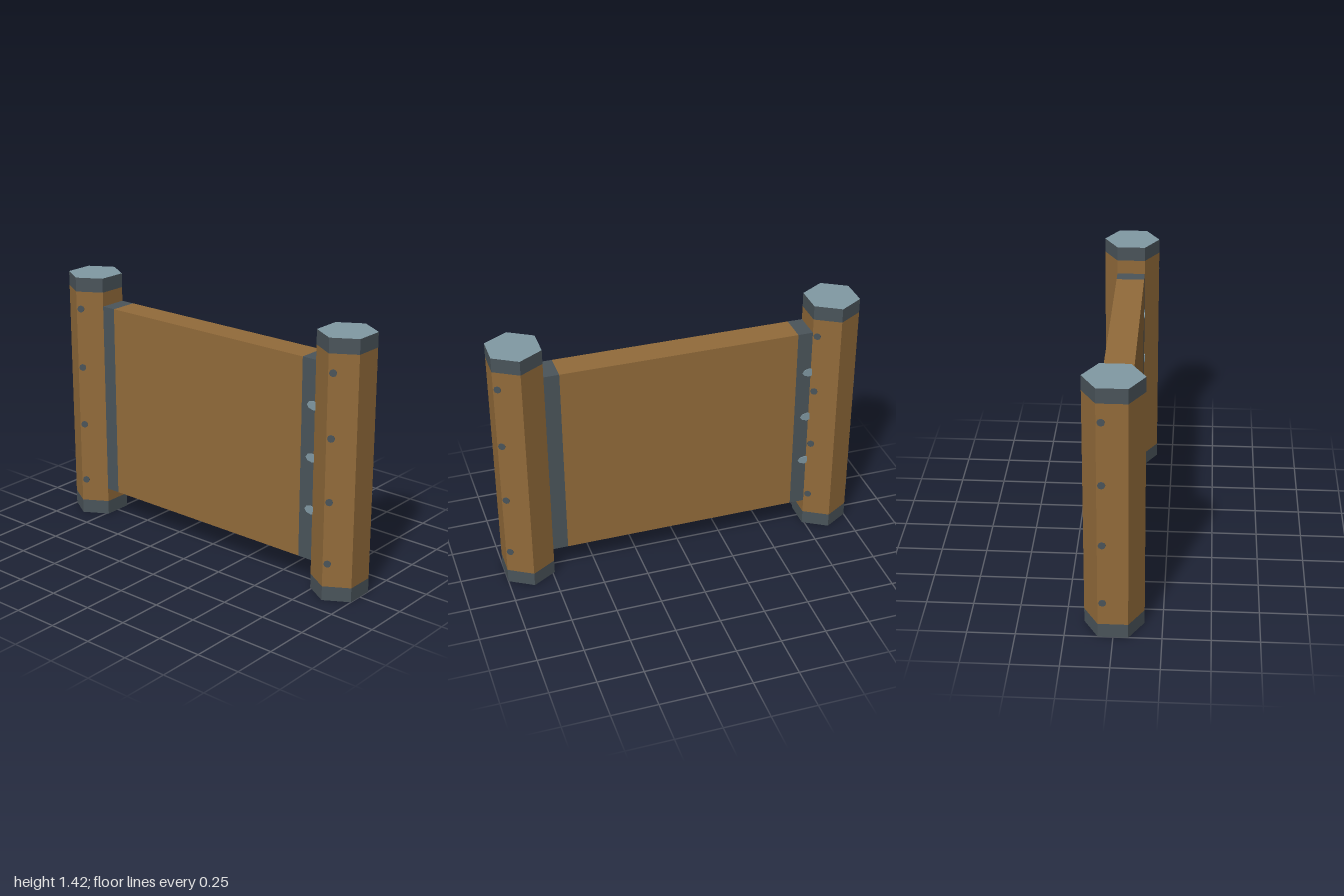
import * as THREE from 'three';

const mat = (name, color) => new THREE.MeshStandardMaterial({ name, color });

export function createModel() {
  const wood = mat('wood', 0x926b3a);
  const iron = mat('dark iron', 0x4a545a);
  const steel = mat('light steel', 0x8199a3);

  const group = new THREE.Group();
  group.name = 'fencePanel';
  const add = (parent, name, geometry, material, x = 0, y = 0, z = 0) => {
    const mesh = new THREE.Mesh(geometry, material);
    mesh.name = name;
    mesh.position.set(x, y, z);
    parent.add(mesh);
    return mesh;
  };

  // Faceted six-sided prism with corners towards front and back
  const R = 0.156, APOTHEM = 0.131;
  const hex = (height, open) => {
    const g = new THREE.CylinderGeometry(R, R, height, 6, 1, open).toNonIndexed();
    g.scale(APOTHEM / (R * Math.cos(Math.PI / 6)), 1, 1);
    g.computeVertexNormals();
    return g;
  };
  // Thin round-headed stud, its face along +z
  const disc = (r, depth, sides) => new THREE.CylinderGeometry(r, r, depth, sides).rotateX(Math.PI / 2);

  // Hexagonal posts with iron end bands
  const H = 1.425, BAND = 0.08;
  for (const side of [-1, 1]) {
    const post = new THREE.Group();
    post.name = side > 0 ? 'leftPost' : 'rightPost';
    post.position.x = side * 0.869;
    group.add(post);
    add(post, 'postShaft', hex(H - 2 * BAND, true), wood, 0, H / 2, 0);
    for (const y of [BAND / 2, H - BAND / 2])
      add(post, 'endBand', hex(BAND, false), [iron, steel, steel], 0, y, 0);

    // Studs beside every second corner of the post
    for (let i = 0; i < 3; i++) {
      const corner = (k) => {
        const a = k * Math.PI / 3;
        return new THREE.Vector3(Math.sin(a) * APOTHEM / Math.cos(Math.PI / 6), 0, Math.cos(a) * R);
      };
      const a = corner(2 * i), b = corner(2 * i + 1);
      const p = a.clone().lerp(b, 0.16);
      const edge = b.clone().sub(a);
      const facing = Math.atan2(-edge.z, edge.x);
      for (const y of [0.21, 0.555, 0.9, 1.245]) {
        const stud = add(post, 'postStud', disc(0.02, 0.008, 8), iron, p.x, y, p.z);
        stud.rotation.y = facing;
      }
    }
  }

  // Wall panel between the posts
  const Y0 = 0.16, Y1 = 1.265, T = 0.156, IN = 0.655, OUT = 0.738;
  const h = Y1 - Y0, mid = (Y0 + Y1) / 2;
  add(group, 'panel', new THREE.BoxGeometry(2 * IN, h, T), wood, 0, mid, 0);
  for (const side of [-1, 1]) {
    // Iron edge strip
    add(group, 'edgeStrip', new THREE.BoxGeometry(OUT - IN, h, T), iron, side * (IN + OUT) / 2, mid, 0);
    // Steel rivets, on the front at one end and on the back at the other
    for (const y of [0.445, 0.735, 1.02]) {
      const rivet = add(group, 'rivet', disc(0.04, 0.008, 8), steel, side * 0.73, y, side * T / 2);
      rivet.scale.y = 0.6;
    }
  }
  return group;
}
